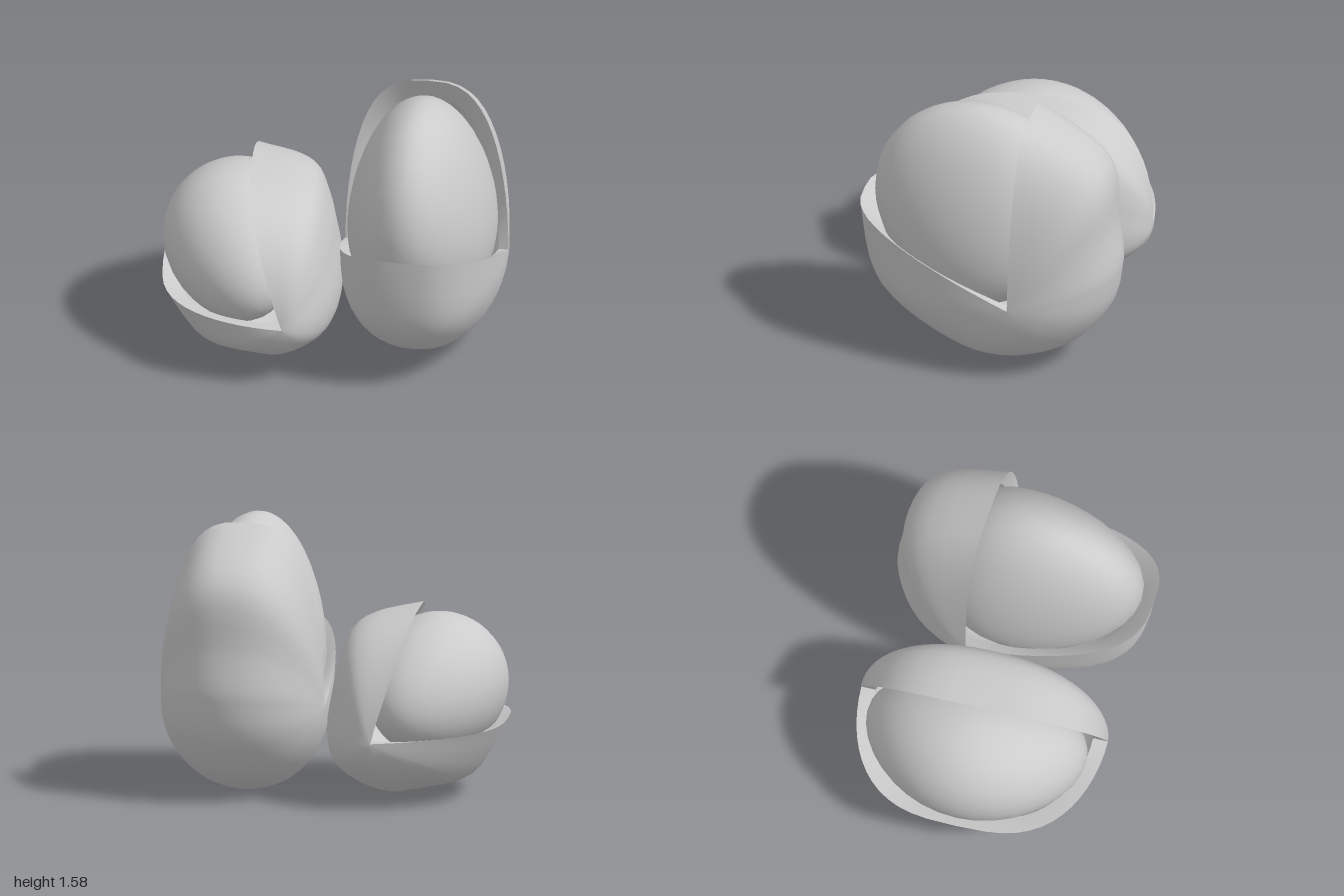
import * as THREE from 'three';
import { mergeGeometries, mergeVertices } from 'three/addons/utils/BufferGeometryUtils.js';

const material = new THREE.MeshStandardMaterial({ color: 0xcccccc });

// Grid surface whose points follow place(u, v), u and v in 0..1
function surface(nu, nv, place) {
  const geo = new THREE.PlaneGeometry(1, 1, nu, nv);
  const { position, uv } = geo.attributes;
  for (let i = 0; i < position.count; i++) {
    const p = place(uv.getX(i), uv.getY(i));
    position.setXYZ(i, p.x, p.y, p.z);
  }
  geo.computeVertexNormals();
  return geo;
}

// Gaping shell: half-oval sections of the given half width, swept round
// the hinge (local x axis) along a [z, y] contour from lip to lip
function shellGeometry(contour, halfWidth) {
  const curve = new THREE.SplineCurve(contour.map(([z, y]) => new THREE.Vector2(z, y)));
  const point = (s, v, scale, side) => {
    const c = curve.getPoint(s);
    const cos = -Math.cos(Math.PI * v) * side;
    const fullness = 1 - 0.34 * (2 * s - 1) ** 2; // lips are broader than the back
    const x = Math.sign(cos) * Math.abs(cos) ** fullness * halfWidth;
    const r = Math.sin(Math.PI * v);
    return new THREE.Vector3(x, c.y * r, c.x * r).multiplyScalar(scale);
  };
  const inner = 0.88;
  const recess = 0.025; // the lips slope inwards towards the kernel
  const wall = (u) => 1 + (inner - 1) * u;
  return mergeGeometries([
    surface(40, 28, (u, v) => point(u, v, 1, 1)), // outside
    surface(40, 28, (u, v) => point(recess + (1 - 2 * recess) * u, v, inner, -1)), // inside
    surface(2, 28, (u, v) => point(recess * u, v, wall(u), -1)), // lower lip
    surface(2, 28, (u, v) => point(1 - recess * u, v, wall(u), 1)), // upper lip
  ]);
}

// Kernel: ellipsoid whose two ends bend back towards the hinge
function kernelGeometry({ halfWidth, radius, y, z, bend }) {
  const geo = new THREE.SphereGeometry(1, 36, 24);
  const p = geo.attributes.position;
  for (let i = 0; i < p.count; i++) {
    const x = p.getX(i);
    const k = 1 - bend * x * x;
    p.setXYZ(i, x * halfWidth, p.getY(i) * radius + y * k, p.getZ(i) * radius + z * k);
  }
  geo.deleteAttribute('uv');
  geo.deleteAttribute('normal');
  const welded = mergeVertices(geo, 1e-4);
  welded.computeVertexNormals();
  return welded;
}

function createNut({ name, hinge, yaw, contour, halfWidth, kernel }) {
  const nut = new THREE.Group();
  nut.name = name;
  const shell = new THREE.Mesh(shellGeometry(contour, halfWidth), material);
  shell.name = 'shell';
  const seed = new THREE.Mesh(kernelGeometry(kernel), material);
  seed.name = 'kernel';
  nut.add(shell, seed);
  nut.position.set(...hinge);
  nut.rotation.y = yaw;
  return nut;
}

export function createModel() {
  const group = new THREE.Group();
  group.name = 'openNuts';

  // Large nut, gaping forwards and up
  group.add(createNut({
    name: 'leftNut',
    hinge: [0.515, 0.52, -0.2],
    yaw: -0.1,
    halfWidth: 0.475,
    contour: [
      [0.98, 0.4], [0.93, 0.02], [0.81, -0.2], [0.54, -0.4], [0.27, -0.51],
      [-0.02, -0.5], [-0.31, -0.37], [-0.5, -0.14], [-0.55, 0.08], [-0.55, 0.2],
      [-0.52, 0.41], [-0.5, 0.7], [-0.35, 0.88], [-0.02, 1.06],
    ],
    kernel: { halfWidth: 0.43, radius: 0.6, y: 0.46, z: 0.31, bend: 0.5 },
  }));

  // Smaller nut, gaping sideways and up
  group.add(createNut({
    name: 'rightNut',
    hinge: [-0.28, 0.4, -0.06],
    yaw: -Math.PI / 2,
    halfWidth: 0.73,
    contour: [
      [0.72, 0.04], [0.62, -0.15], [0.5, -0.29], [0.22, -0.36], [0.05, -0.38],
      [-0.13, -0.32], [-0.28, -0.2], [-0.32, 0], [-0.28, 0.25], [-0.25, 0.38],
      [-0.18, 0.55], [-0.04, 0.63], [0.21, 0.68],
    ],
    kernel: { halfWidth: 0.65, radius: 0.4, y: 0.245, z: 0.32, bend: 0.4 },
  }));

  return group;
}
